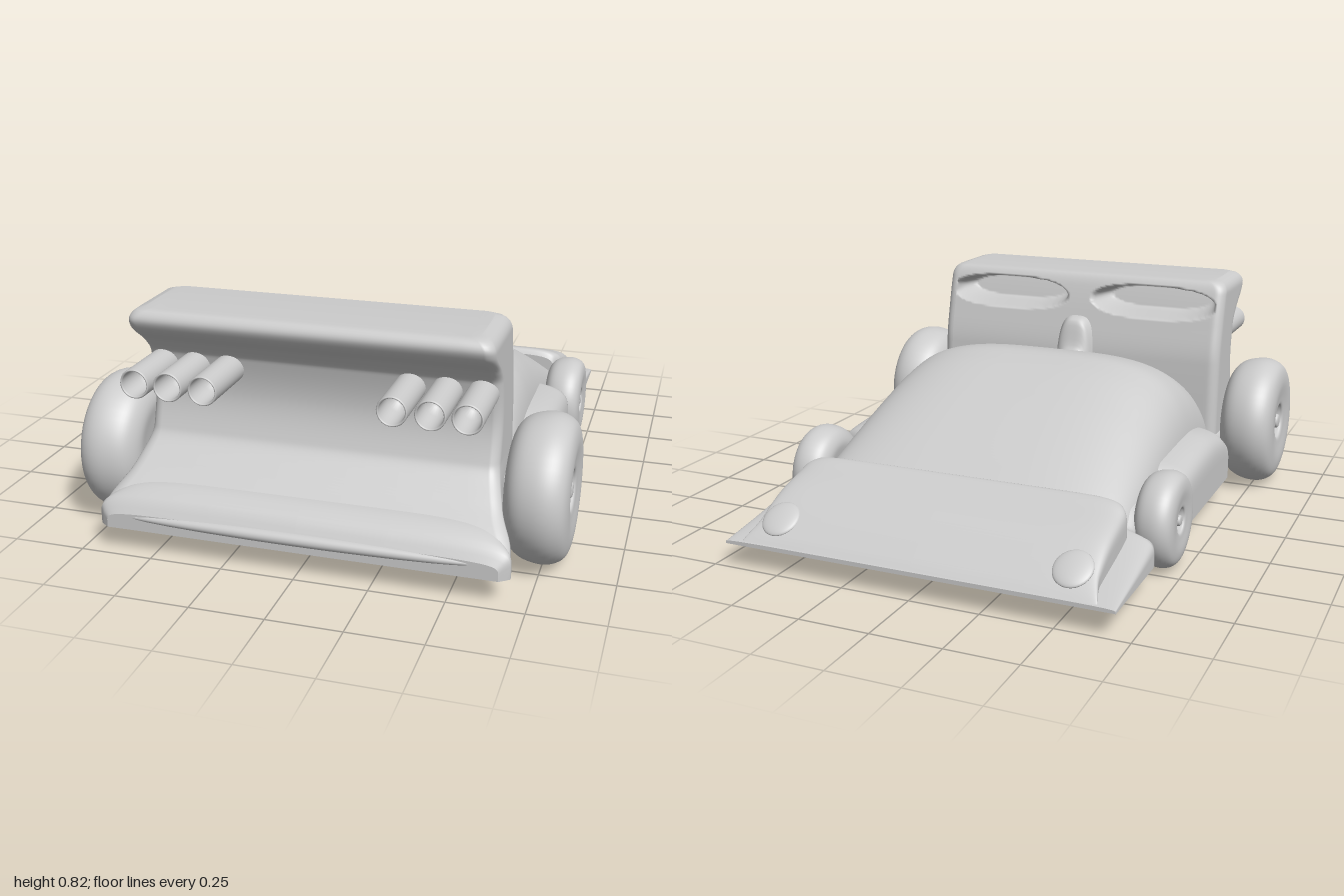
import * as THREE from 'three';

const V = (x, y, z) => new THREE.Vector3(x, y, z);
const mat = new THREE.MeshStandardMaterial({ color: 0xcccccc });

// Smooth curve through [t, value] points, without overshoot
function curve(p) {
  const n = p.length, s = [], m = [];
  for (let i = 0; i < n - 1; i++) s.push((p[i + 1][1] - p[i][1]) / (p[i + 1][0] - p[i][0]));
  for (let i = 0; i < n; i++) {
    const a = s[Math.max(i - 1, 0)], b = s[Math.min(i, n - 2)];
    m.push(a * b <= 0 ? 0 : 2 * a * b / (a + b));
  }
  return t => {
    if (t <= p[0][0]) return p[0][1];
    if (t >= p[n - 1][0]) return p[n - 1][1];
    let i = 0;
    while (t > p[i + 1][0]) i++;
    const h = p[i + 1][0] - p[i][0], u = (t - p[i][0]) / h, v = 1 - u;
    return (1 + 2 * u) * v * v * p[i][1] + u * v * v * h * m[i]
      + u * u * (3 - 2 * u) * p[i + 1][1] - u * u * v * h * m[i + 1];
  };
}

// Closed rings joined into a smooth skin
function skin(rows) {
  const n = rows[0].length, idx = [];
  for (let i = 0; i < rows.length - 1; i++) for (let j = 0; j < n; j++) {
    const k = (j + 1) % n, a = i * n + j, b = i * n + k, c = a + n, d = b + n;
    idx.push(a, b, c, b, d, c);
  }
  const g = new THREE.BufferGeometry().setFromPoints(rows.flat());
  g.setIndex(idx);
  g.computeVertexNormals();
  return g;
}

// Flat-bottomed arch sections lofted along z
function loft(z0, z1, steps, width, top, base, power) {
  const rows = [], e = 2 / power, N = 56;
  for (let i = 0; i <= steps; i++) {
    const z = z0 + (z1 - z0) * i / steps, w = width(z), h = top(z) - base, ring = [];
    for (let j = 0; j <= N; j++) {
      const c = Math.cos(Math.PI * j / N), s = Math.max(0, Math.sin(Math.PI * j / N));
      ring.push(V(w * Math.sign(c) * Math.abs(c) ** e, base + h * s ** e, z));
    }
    ring.push(V(-w, base, z), V(w, base, z));
    rows.push(ring);
  }
  const cap = r => r.map(() => V(0, (base + top(r[0].z)) / 2, r[0].z));
  const first = rows[0], last = rows[steps], copy = r => r.map(p => p.clone());
  return skin([cap(first), copy(first), ...rows, copy(last), cap(last)]);
}

// Tall rear block: rounded rectangles stacked in y, two scoops pushed into its front
function rearBlock() {
  const front = curve([[0.1, 0.45], [0.5, 0.465], [0.65, 0.495], [0.8, 0.54], [0.82, 0.55]]);
  const back = curve([[0.1, 0.97], [0.15, 0.96], [0.2, 0.91], [0.27, 0.82], [0.36, 0.735], [0.5, 0.705],
    [0.63, 0.725], [0.68, 0.765], [0.76, 0.86], [0.79, 0.87], [0.82, 0.865]]);
  const flare = curve([[0.1, 0.69], [0.16, 0.685], [0.25, 0.635], [0.36, 0.605], [0.8, 0.605]]);
  const rows = [], R = 100, N = 110, H = 0.82;
  for (let i = 0; i <= R; i++) {
    const y = 0.1 + (H - 0.1) * i / R;
    const d = Math.max(0, y - (H - 0.05)), round = 0.05 - Math.sqrt(Math.max(0, 0.0025 - d * d));
    const zf = front(y) + round * 0.3, zb = back(y) - round * 0.6;
    const wf = 0.605 - round, wb = flare(y) - round, r = 0.04, ring = [];
    for (let j = 0; j <= N; j++) {
      const x = (wf - r) * (1 - 2 * j / N);
      const q = 1 - Math.abs((Math.abs(x) - 0.315) / 0.265) ** 3 - ((y - 0.72) / 0.062) ** 2;
      ring.push(V(x, y, zf + 0.14 * THREE.MathUtils.smoothstep(q, 0, 0.45)));
    }
    const corner = (sx, sz, w, z, a0, a1) => {
      for (let k = 1; k <= 8; k++) {
        const a = a0 + (a1 - a0) * k / 8;
        ring.push(V(sx * (w - r + r * Math.cos(a)), y, z + sz * (-r + r * Math.sin(a))));
      }
    };
    const q = Math.PI / 2;
    corner(-1, -1, wf, zf, q, 0);
    for (let k = 1; k < 10; k++) ring.push(V(-(wf + (wb - wf) * (k / 10) ** 3), y, zf + r + (zb - zf - 2 * r) * k / 10));
    corner(-1, 1, wb, zb, 0, q);
    for (let k = 1; k < 20; k++) ring.push(V((wb - r) * (k / 10 - 1), y, zb));
    corner(1, 1, wb, zb, q, 0);
    for (let k = 9; k > 0; k--) ring.push(V(wf + (wb - wf) * (k / 10) ** 3, y, zf + r + (zb - zf - 2 * r) * k / 10));
    corner(1, -1, wf, zf, 0, q);
    rows.push(ring);
  }
  rows.push(rows[R].map(p => V(p.x, H, 0.7)));
  return skin(rows);
}

function createModel() {
  const car = new THREE.Group();
  car.name = 'racingCar';
  const add = (name, geo, x = 0, y = 0, z = 0) => {
    const m = new THREE.Mesh(geo, mat);
    m.name = name;
    m.position.set(x, y, z);
    car.add(m);
    return m;
  };

  // Floor hull with wheel cut-outs and side pods
  add('lowerHull', loft(-1, 0.98, 160,
    curve([[-1, 0.7], [-0.62, 0.7], [-0.58, 0.615], [-0.27, 0.615], [-0.23, 0.7], [0.33, 0.7], [0.38, 0.625],
      [0.82, 0.62], [0.91, 0.67], [0.95, 0.695], [0.98, 0.66]]),
    curve([[-1, 0.105], [-0.6, 0.205], [-0.5, 0.26], [-0.25, 0.3], [-0.2, 0.315], [0.1, 0.335], [0.25, 0.315],
      [0.38, 0.24], [0.75, 0.24], [0.88, 0.23], [0.95, 0.195], [0.98, 0.15]]), 0.09, 7));

  // Raised nose wedge
  add('noseWedge', loft(-0.995, -0.595, 40,
    curve([[-0.995, 0.64], [-0.9, 0.615], [-0.65, 0.612], [-0.595, 0.585]]),
    curve([[-0.995, 0.105], [-0.97, 0.13], [-0.8, 0.245], [-0.68, 0.285], [-0.61, 0.305], [-0.595, 0.285]]), 0.092, 12));

  // Domed cockpit cover
  add('bodyDome', loft(-0.63, 0.46, 90,
    curve([[-0.63, 0.6], [0.35, 0.605], [0.46, 0.59]]),
    curve([[-0.63, 0.265], [-0.5, 0.345], [-0.35, 0.425], [-0.2, 0.495], [0, 0.568], [0.1, 0.585], [0.2, 0.572],
      [0.3, 0.53], [0.36, 0.47], [0.41, 0.37], [0.46, 0.3]]), 0.1, 3.6));

  // Saddle between dome and rear block
  add('centreBridge', loft(0.28, 0.54, 40,
    curve([[0.28, 0.2], [0.35, 0.13], [0.41, 0.075], [0.45, 0.08], [0.54, 0.13]]),
    curve([[0.28, 0.5], [0.38, 0.49], [0.42, 0.53], [0.45, 0.63], [0.48, 0.645], [0.54, 0.65]]), 0.3, 3));

  add('rearBlock', rearBlock());
  add('tailStrip', new THREE.SphereGeometry(1, 40, 16), 0, 0.135, 0.972).scale.set(0.6, 0.022, 0.025);

  // Open exhaust pipe
  const pipe = new THREE.LatheGeometry([[0.05, 0], [0.05, 0.295], [0.048, 0.3], [0.044, 0.3], [0.042, 0.295],
    [0.04, 0.2], [0.025, 0.17], [0, 0.165]].map(p => new THREE.Vector2(...p)), 28);
  pipe.rotateX(Math.PI / 2);

  // Tyre with dished hub, from inner face to outer face
  const tyre = (radius, half) => {
    const pts = [[0, -0.85], [0.4, -0.95], [0.65, -1], [0.84, -0.8], [0.95, -0.45], [1, 0.1], [0.97, 0.55],
      [0.86, 0.88], [0.65, 1], [0.4, 0.94], [0.29, 0.9], [0.25, 0.8], [0.17, 0.66], [0.12, 0.68], [0.1, 0.88], [0, 0.92]]
      .map(([r, y]) => new THREE.Vector2(r * radius, y * half));
    const line = new THREE.SplineCurve(pts).getPoints(70);
    line.forEach(p => { p.x = Math.max(0, p.x); });
    return new THREE.LatheGeometry(line, 48);
  };
  const rear = tyre(0.25, 0.105), fore = tyre(0.167, 0.07);
  const axle = new THREE.CylinderGeometry(0.03, 0.03, 0.2, 20);
  const lamp = new THREE.SphereGeometry(1, 28, 16);

  for (const s of [1, -1]) {
    const side = s > 0 ? 'left' : 'right';
    for (const [name, geo, x, y, z] of [
      ['RearWheel', rear, 0.735, 0.255, 0.615], ['FrontWheel', fore, 0.662, 0.177, -0.41],
      ['RearAxle', axle, 0.58, 0.255, 0.615], ['FrontAxle', axle, 0.54, 0.177, -0.41]])
      add(side + name, geo, s * x, y, z).rotation.z = -s * Math.PI / 2;
    for (const x of [0.31, 0.43, 0.545]) add(side + 'ExhaustPipe', pipe, s * x, 0.595, 0.645);
    const l = add(side + 'Headlamp', lamp, s * 0.53, 0.172, -0.913);
    l.scale.set(0.067, 0.016, 0.07);
    l.rotation.x = -0.6;
  }
  return car;
}

export { createModel };
